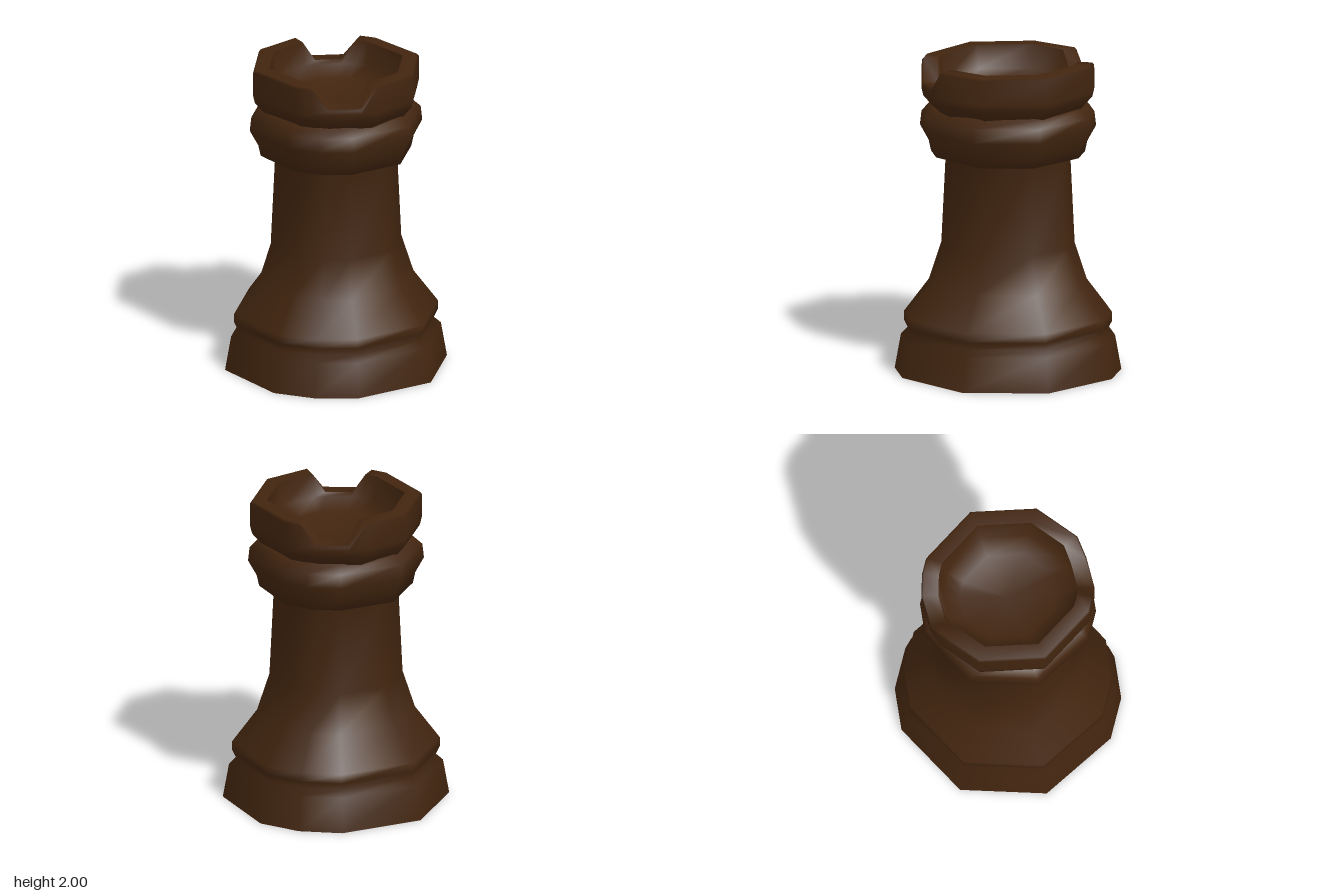
import * as THREE from 'three';
import { mergeVertices } from 'three/addons/utils/BufferGeometryUtils.js';

const STEP = 360 / 16;
// Uneven ten-sided outline of the body, in degrees from +x towards +z
const BODY_ANGLES = [0, 2, 3, 4, 6, 8, 10, 11, 12, 14].map((k) => STEP * (k + 0.5));
// Crown outline with two opposite notches; the flag marks a lowered corner
const HALF_CROWN = [[5.6, 0], [39.4, 0], [50.6, 1], [73.1, 1], [84.4, 0], [95.6, 0], [140.6, 0]];
const CROWN = [...HALF_CROWN, ...HALF_CROWN.map(([a, low]) => [a + 180, low])];
const CROWN_ANGLES = CROWN.map(([a]) => a);
const NOTCH_DROP = 0.13;

// Skins rings of [radius, height, drop] around the given angles;
// a ring with drop = 1 sinks at the notches.
function skin(rings, angles, lowered = []) {
  const positions = [];
  const index = [];
  const n = angles.length;
  rings.forEach(([r, y, drop = 0], j) => {
    angles.forEach((deg, i) => {
      const t = THREE.MathUtils.degToRad(deg);
      const sink = lowered[i] ? drop * NOTCH_DROP : 0;
      positions.push(r * Math.cos(t), y - sink, r * Math.sin(t));
      if (j === rings.length - 1) return;
      const a = j * n + i;
      const b = j * n + (i + 1) % n;
      if (r > 0) index.push(a, a + n, b);
      if (rings[j + 1][0] > 0) index.push(b, a + n, b + n);
    });
  });
  let g = new THREE.BufferGeometry();
  g.setAttribute('position', new THREE.Float32BufferAttribute(positions, 3));
  g.setIndex(index);
  g = mergeVertices(g, 1e-4);
  g.computeVertexNormals();
  return g;
}

export function createModel() {
  const group = new THREE.Group();
  const wood = new THREE.MeshStandardMaterial({ color: 0x42250f });
  wood.name = 'darkBrownWood';

  const add = (name, geometry) => {
    const mesh = new THREE.Mesh(geometry, wood);
    mesh.name = name;
    group.add(mesh);
  };

  // Flat underside
  add('underside', skin([[0, 0], [0.714, 0]], BODY_ANGLES));

  // Foot, bead, flared shaft and collar in one smooth skin
  add('body', skin([
    [0.714, 0], [0.675, 0.22], [0.63, 0.26], [0.655, 0.31], [0.655, 0.37],
    [0.498, 0.58], [0.42, 0.82], [0.393, 1.38], [0.485, 1.41], [0.5, 1.48],
    [0.555, 1.58], [0.545, 1.67], [0.49, 1.72], [0.44, 1.73],
  ], BODY_ANGLES));

  // Crown wall with a narrow bevel and flat rim
  const lowered = CROWN.map(([, low]) => low);
  add('crown', skin([
    [0.47, 1.7], [0.488, 1.725], [0.535, 1.78], [0.547, 1.83],
    [0.547, 1.985, 1], [0.535, 2, 1], [0.44, 2, 1],
  ], CROWN_ANGLES, lowered));

  // Hollow inside the crown
  add('crownHollow', skin([
    [0.44, 2, 1], [0.41, 1.85], [0.3, 1.79], [0, 1.76],
  ], CROWN_ANGLES, lowered));

  return group;
}
